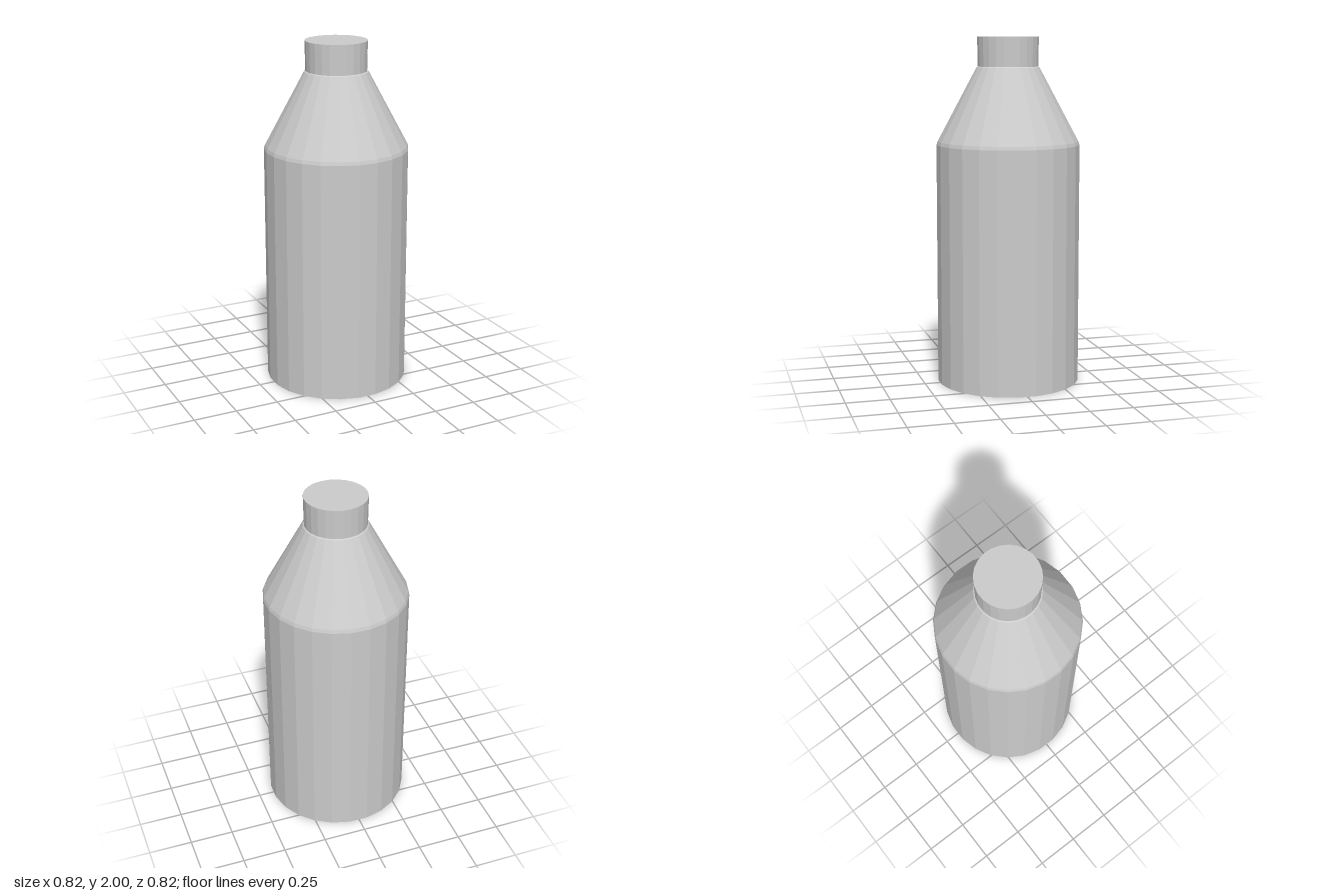
import * as THREE from 'three';

const SIDES = 24;
const TURN = 0.12;

export function createModel() {
  const group = new THREE.Group();
  const material = new THREE.MeshStandardMaterial({ color: 0xcccccc, flatShading: true });

  // Revolves a profile of [radius, height] pairs; upward runs face outward
  const revolve = (name, profile, sides) => {
    const points = profile.map(([r, y]) => new THREE.Vector2(r, y));
    const mesh = new THREE.Mesh(new THREE.LatheGeometry(points, sides, TURN), material);
    mesh.name = name;
    group.add(mesh);
  };

  // Thin-walled body, open at the bottom, with a straight wall and sloping shoulder
  revolve('bodyOuter', [[0.413, 0], [0.413, 1.385], [0.407, 1.405], [0.182, 1.825], [0.174, 1.83]], SIDES);
  revolve('bodyInner', [[0.164, 1.815], [0.393, 1.39], [0.397, 1.37], [0.397, 0]], SIDES);
  revolve('bottomRim', [[0.397, 0], [0.413, 0]], SIDES);

  // Short neck closed by a flat cap, hollow from below
  revolve('neck', [[0.174, 1.825], [0.177, 2], [0, 2]], SIDES);
  revolve('neckInner', [[0, 1.985], [0.164, 1.985], [0.164, 1.815]], SIDES);

  return group;
}
